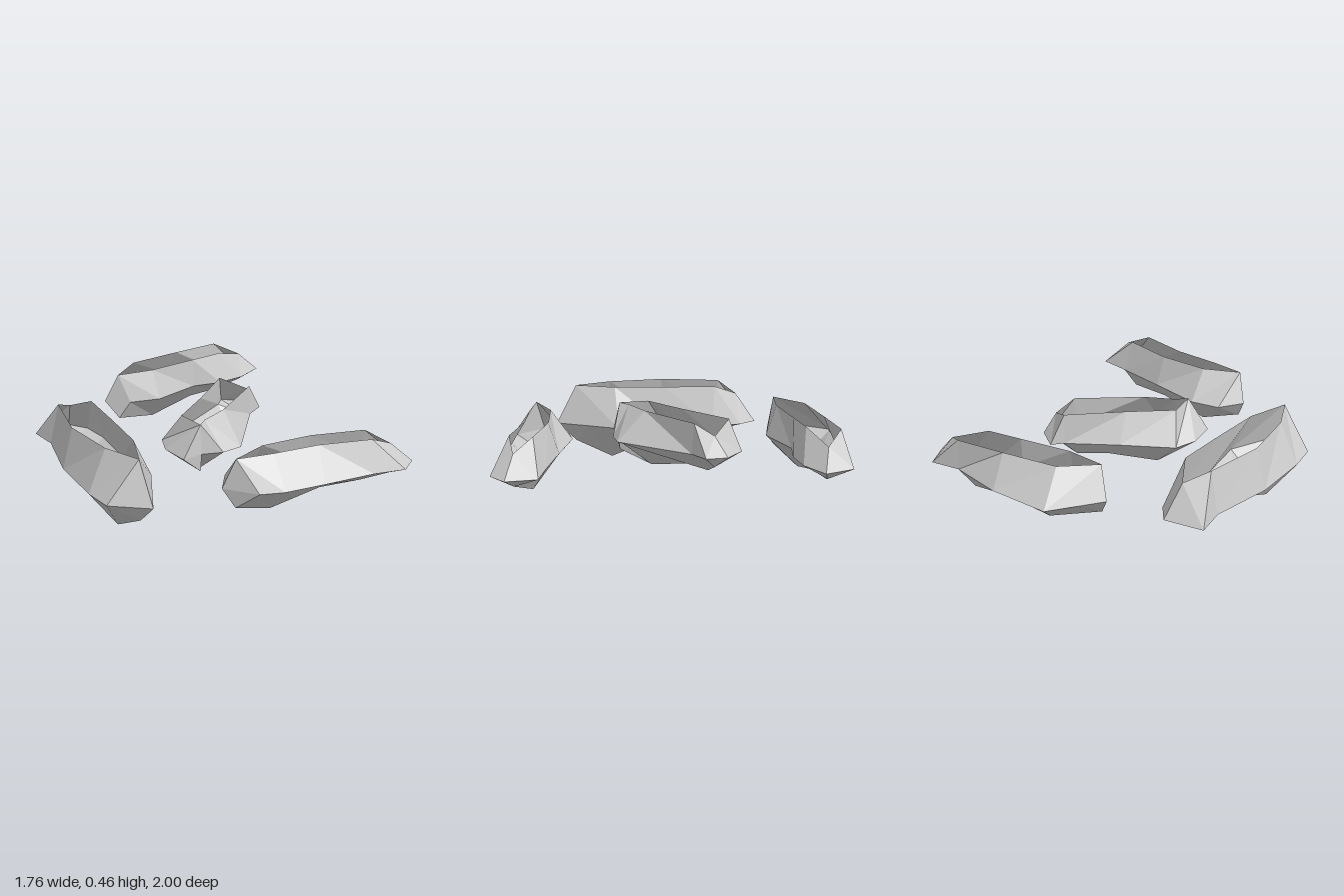
import * as THREE from 'three';

const RIM = 0.46, LOW_RIM = 0.4;
// keel drop below the sides from blunt end to tapered end, as a share of its depth
const EVEN_KEEL = [0.6, 1, 0.66, 0.66, 0.35];
const PEAKED_KEEL = [0.5, 1, 0.5, 0.5, 0.15];

const at = (x, y, z) => new THREE.Vector3(x, y, z);

// Every section has a left and a right half, each running rim, side, keel.

// Tip: everything meets in one point
function tip([x, z], side) {
  const half = Array(3).fill(at(x, side, z));
  return { left: half, right: half };
}

// End section: both rims meet above the keel
function pinched([xL, zL, xR, zR, x, z], top, side, keelY) {
  const rim = at(x, top, z), keel = at(x, keelY, z);
  return { left: [rim, at(xL, side, zL), keel], right: [rim, at(xR, side, zR), keel] };
}

// Body section: the rims sit at fractions f and g of the way across
function open([xL, zL, xR, zR, f, g, xK, zK], side, keelY) {
  const across = (t, y) => at(xL + (xR - xL) * t, y, zL + (zR - zL) * t);
  const keel = at(xK, keelY, zK);
  return { left: [across(f, RIM), across(0, side), keel], right: [across(g, RIM), across(1, side), keel] };
}

// Loft a hollow pod, open at the top, from tip to tip through its sections
function makePod(name, side, depth, keel, [startTip, endTip], start, body, end) {
  const keelY = keel.map((share) => side - depth * share);
  const sections = [
    tip(startTip, side),
    pinched(start, RIM, side, keelY[0]),
    ...body.map((section, i) => open(section, side, keelY[i + 1])),
    pinched(end, LOW_RIM, side, keelY[4]),
    tip(endTip, side),
  ];
  const points = [];
  const addTriangle = (a, b, c) => {
    if (!a.equals(b) && !b.equals(c) && !c.equals(a)) points.push(a, b, c);
  };
  for (let i = 0; i < sections.length - 1; i++) {
    for (let j = 0; j < 2; j++) {
      const corners = (half) => {
        const near = sections[i][half], far = sections[i + 1][half];
        return [near[j], near[j + 1], far[j + 1], far[j]];
      };
      const [a, b, c, d] = corners('right');
      addTriangle(a, b, c);
      addTriangle(a, c, d);
      const [p, q, r, s] = corners('left');
      addTriangle(p, r, q);
      addTriangle(p, s, r);
    }
  }
  const geometry = new THREE.BufferGeometry().setFromPoints(points);
  geometry.computeVertexNormals();
  const material = new THREE.MeshStandardMaterial({
    color: 0xcccccc, flatShading: true, side: THREE.DoubleSide,
  });
  const mesh = new THREE.Mesh(geometry, material);
  mesh.name = name;
  return mesh;
}

export function createModel() {
  const group = new THREE.Group();
  group.name = 'openPods';
  group.add(
    makePod('backPod', 0.29, 0.175, EVEN_KEEL, [[-0.2, -0.77], [0.88, -0.66]],
      [-0.09, -0.88, -0.09, -0.66, -0.14, -0.71],
      [
        [0.03, -1, 0.08, -0.6, 0.42, 0.85, 0.14, -0.77],
        [0.37, -0.94, 0.37, -0.65, 0.38, 0.97, 0.43, -0.77],
        [0.66, -0.83, 0.54, -0.6, 0.04, 0.75, 0.6, -0.77],
      ],
      [0.83, -0.83, 0.71, -0.6, 0.77, -0.71]),

    makePod('frontPod', 0.29, 0.175, EVEN_KEEL, [[-0.37, 0.6], [0.65, 0.94]],
      [-0.26, 0.48, -0.26, 0.77, -0.32, 0.65],
      [
        [-0.09, 0.48, -0.14, 0.83, 0.34, 0.66, -0.09, 0.65],
        [0.2, 0.6, 0.08, 0.88, 0.18, 0.6, 0.2, 0.71],
        [0.48, 0.71, 0.37, 0.94, 0.25, 0.75, 0.43, 0.77],
      ],
      [0.65, 0.77, 0.54, 1, 0.54, 0.88]),

    makePod('middlePod', 0.29, 0.175, EVEN_KEEL, [[-0.32, 0.2], [0.48, -0.26]],
      [-0.32, 0.03, -0.2, 0.2, -0.2, 0.19],
      [
        [-0.26, -0.09, -0.09, 0.25, 0.33, 0.7, -0.09, 0.03],
        [0.03, -0.2, 0.03, 0.25, 0.18, 0.65, 0.15, -0.12],
        [0.31, -0.32, 0.37, -0.09, 0.04, 0.95, 0.3, -0.2],
      ],
      [0.37, -0.37, 0.48, -0.14, 0.43, -0.2]),

    makePod('rightPod', 0.23, 0.23, PEAKED_KEEL, [[-0.71, 0.48], [-0.49, -0.71]],
      [-0.88, 0.31, -0.6, 0.31, -0.71, 0.36],
      [
        [-0.88, 0.14, -0.49, 0.14, 0.28, 0.72, -0.71, 0.14],
        [-0.83, -0.2, -0.49, -0.14, 0.18, 0.85, -0.66, -0.14],
        [-0.71, -0.54, -0.43, -0.43, 0.18, 0.8, -0.6, -0.43],
      ],
      [-0.71, -0.71, -0.43, -0.6, -0.54, -0.6]),
  );
  return group;
}
